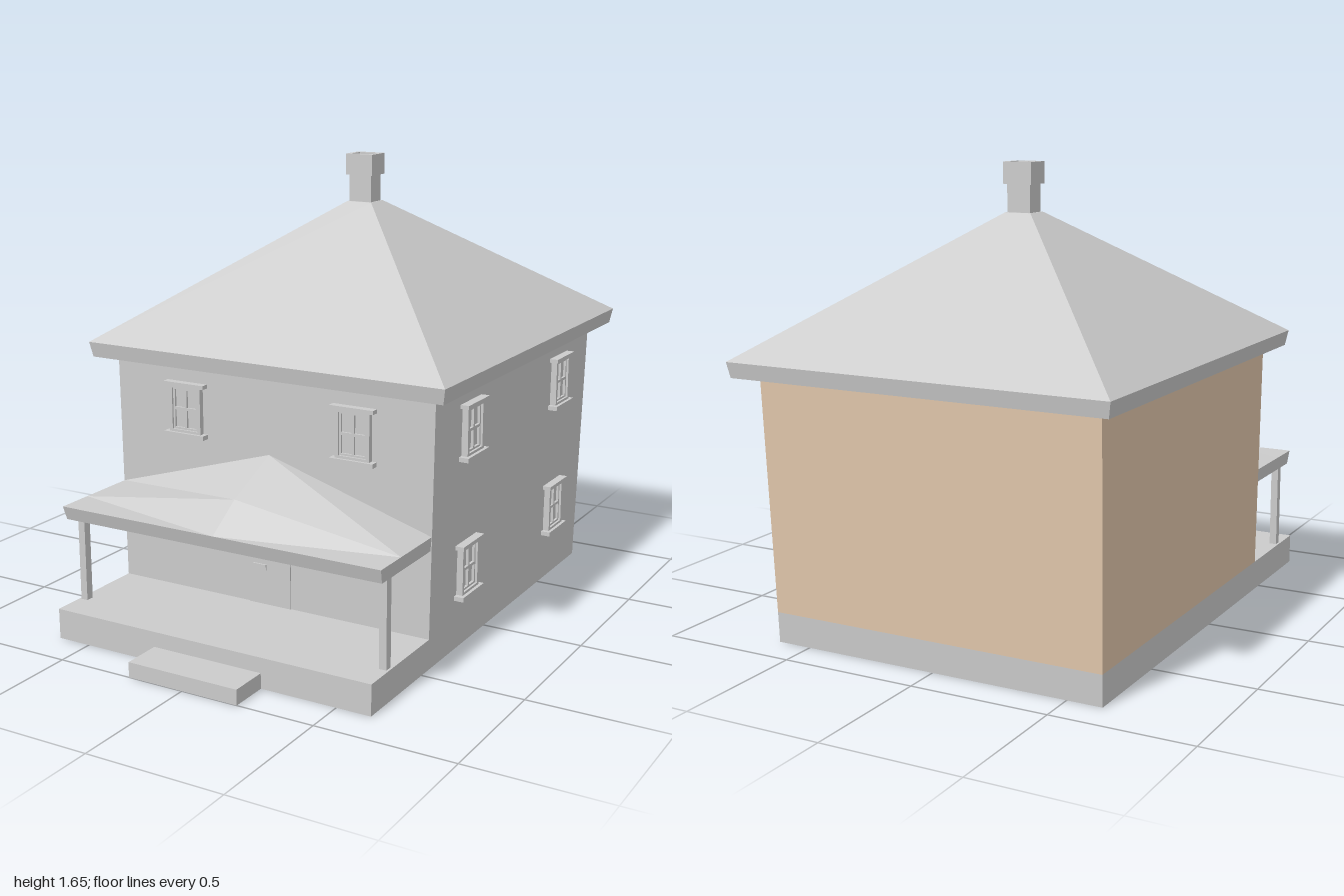
import * as THREE from 'three';

const grey = new THREE.MeshStandardMaterial({ color: 0xcccccc, flatShading: true, side: THREE.DoubleSide });
const tan = new THREE.MeshStandardMaterial({ color: 0xe2c8ac, flatShading: true, side: THREE.DoubleSide });

function addMesh(parent, name, geometry, material = grey) {
  const mesh = new THREE.Mesh(geometry, material);
  mesh.name = name;
  parent.add(mesh);
  return mesh;
}

// Flat-shaded surface from polygons (corner lists, anticlockwise from outside)
function faces(polygons) {
  const pos = [];
  for (const p of polygons)
    for (let i = 1; i < p.length - 1; i++) pos.push(...p[0], ...p[i], ...p[i + 1]);
  const g = new THREE.BufferGeometry();
  g.setAttribute('position', new THREE.Float32BufferAttribute(pos, 3));
  g.computeVertexNormals();
  return g;
}

// Corners of a level rectangle: half width, back z, front z, height
const ring = (hw, z0, z1, y) => [[-hw, y, z1], [hw, y, z1], [hw, y, z0], [-hw, y, z0]];

// Sides between two rings: front, right (+x... model's left), back, other side
const sides = (a, b) => a.map((p, i) => {
  const j = (i + 1) % 4;
  return [p, a[j], b[j], b[i]];
});

// Closed solid through a stack of rings, bottom to top
function stack(rings) {
  const polys = [[...rings[0]].reverse(), rings[rings.length - 1]];
  for (let i = 0; i < rings.length - 1; i++) polys.push(...sides(rings[i], rings[i + 1]));
  return faces(polys);
}

function box(parent, name, w, h, d, x, y, z) {
  const m = addMesh(parent, name, new THREE.BoxGeometry(w, h, d));
  m.position.set(x, y, z);
  return m;
}

function rectPath(Type, x, y, w, h) {
  const p = new Type();
  p.moveTo(x - w / 2, y - h / 2);
  p.lineTo(x + w / 2, y - h / 2);
  p.lineTo(x + w / 2, y + h / 2);
  p.lineTo(x - w / 2, y + h / 2);
  p.closePath();
  return p;
}

// Four-pane window, standing on the z = 0 plane and facing +z
function makeWindow() {
  const win = new THREE.Group();
  win.name = 'window';
  const frame = rectPath(THREE.Shape, 0, 0, 0.132, 0.17);
  const sash = rectPath(THREE.Shape, 0, 0, 0.106, 0.152);
  frame.holes.push(rectPath(THREE.Path, 0, 0, 0.106, 0.152));
  for (const sx of [-1, 1])
    for (const sy of [-1, 1])
      sash.holes.push(rectPath(THREE.Path, sx * 0.025, sy * 0.037, 0.041, 0.064));
  addMesh(win, 'windowFrame', new THREE.ExtrudeGeometry(frame, { depth: 0.02, bevelEnabled: false }));
  addMesh(win, 'windowSash', new THREE.ExtrudeGeometry(sash, { depth: 0.013, bevelEnabled: false }));
  box(win, 'windowGlass', 0.104, 0.15, 0.004, 0, 0, 0.003);
  box(win, 'windowLintel', 0.168, 0.014, 0.028, 0, 0.091, 0.014);
  box(win, 'windowSill', 0.168, 0.016, 0.03, 0, -0.093, 0.015);
  return win;
}

export function createModel() {
  const house = new THREE.Group();
  house.name = 'house';

  // Foundation with porch floor, and the entrance step
  addMesh(house, 'foundation', stack([ring(0.627, -0.87, 0.855, 0), ring(0.628, -0.875, 0.855, 0.11)]));
  box(house, 'step', 0.43, 0.055, 0.145, 0, 0.0275, 0.9275);

  // Walls flare slightly outward towards the eaves
  const [front, left, back, right] = sides(ring(0.628, -0.875, 0.45, 0.11), ring(0.64, -0.912, 0.45, 0.945));
  addMesh(house, 'frontWall', faces([front]));
  addMesh(house, 'leftWall', faces([left]));
  addMesh(house, 'backWall', faces([back]), tan);
  addMesh(house, 'rightWall', faces([right]), tan);

  // Hip roof: soffit, fascia and four slopes up to a small flat top
  addMesh(house, 'roof', stack([
    ring(0.64, -0.912, 0.45, 0.935),
    ring(0.70, -0.99, 0.52, 0.95),
    ring(0.71, -1.0, 0.53, 1.005),
    ring(0.05, -0.28, -0.19, 1.475),
  ]));

  // Chimney shaft with a wider hollow cap
  const chimney = new THREE.Group();
  chimney.name = 'chimney';
  chimney.position.set(0, 1.46, -0.235);
  house.add(chimney);
  box(chimney, 'chimneyShaft', 0.09, 0.115, 0.076, 0, 0.0575, 0);
  const capShape = rectPath(THREE.Shape, 0, 0, 0.11, 0.096);
  capShape.holes.push(rectPath(THREE.Path, 0, 0, 0.076, 0.06));
  const cap = addMesh(chimney, 'chimneyCap', new THREE.ExtrudeGeometry(capShape, { depth: 0.077, bevelEnabled: false }));
  cap.rotation.x = -Math.PI / 2;
  cap.position.y = 0.113;

  // Porch roof: fascia, gabled rear part and a low front slope
  const porch = new THREE.Group();
  porch.name = 'porch';
  house.add(porch);
  const low = ring(0.628, 0.45, 0.79, 0.425), eave = ring(0.632, 0.45, 0.805, 0.475);
  const ridgeBack = [0, 0.665, 0.45], ridgeFront = [0, 0.565, 0.67], eaveMid = [0, 0.475, 0.805];
  const sideL = [0.632, 0.475, 0.67], sideR = [-0.632, 0.475, 0.67];
  addMesh(porch, 'porchRoof', faces([
    [...low].reverse(), ...sides(low, eave),
    [ridgeBack, ridgeFront, sideL, eave[2]],
    [ridgeFront, ridgeBack, eave[3], sideR],
    [ridgeFront, eaveMid, sideL],
    [ridgeFront, sideR, eaveMid],
    [sideL, eaveMid, eave[1]],
    [sideR, eave[0], eaveMid],
  ]));
  for (const s of [-1, 1]) box(porch, 'porchPost', 0.027, 0.32, 0.03, s * 0.606, 0.268, 0.725);

  // Front door with letter slot
  box(house, 'door', 0.17, 0.28, 0.008, 0, 0.25, 0.45);
  box(house, 'letterSlot', 0.055, 0.02, 0.008, -0.04, 0.25, 0.456);

  // Upper front windows
  for (const s of [-1, 1]) {
    const w = makeWindow();
    w.position.set(s * 0.34, 0.787, 0.45);
    house.add(w);
  }
  // Two rows of windows on the left wall
  for (const [z, y, x] of [[0.177, 0.787, 0.637], [-0.61, 0.787, 0.637], [0.18, 0.287, 0.63], [-0.6, 0.287, 0.63]]) {
    const w = makeWindow();
    w.position.set(x, y, z);
    w.rotation.y = Math.PI / 2;
    w.scale.z = 1.2;
    house.add(w);
  }
  return house;
}
